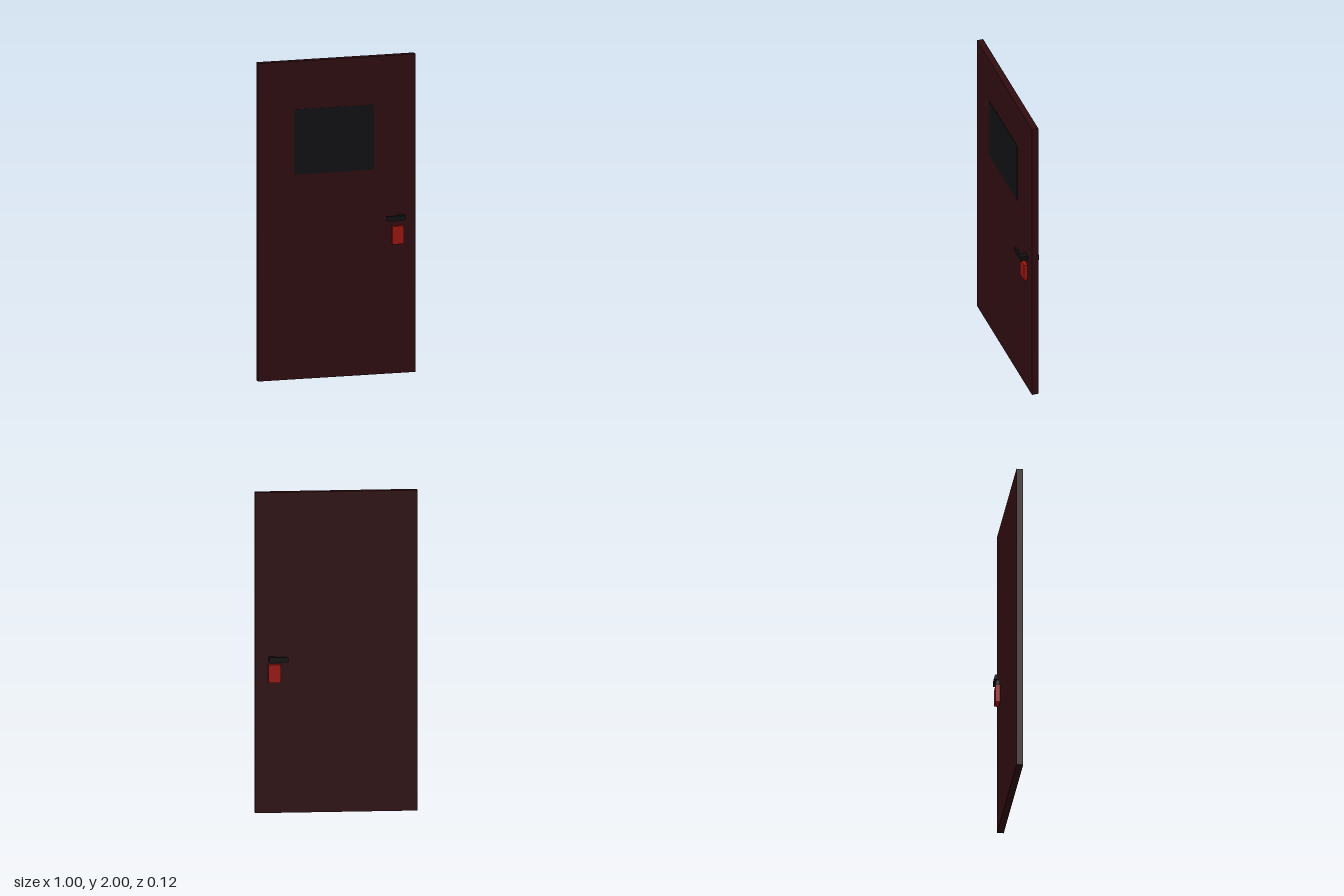
import * as THREE from 'three';

const paint = (color) => new THREE.MeshStandardMaterial({ color });

// Box given by its minimum and maximum corners
function box(name, material, [x0, y0, z0], [x1, y1, z1]) {
  const mesh = new THREE.Mesh(new THREE.BoxGeometry(x1 - x0, y1 - y0, z1 - z0), material);
  mesh.position.set((x0 + x1) / 2, (y0 + y1) / 2, (z0 + z1) / 2);
  mesh.name = name;
  return mesh;
}

// L-shaped handle: a stem out of the door and a thin lever, extruded upward
function handle(name, material, xEnd, yBottom, zDoor, zOuter) {
  const s = Math.sign(zOuter);
  const height = 0.032, length = 0.118, stem = 0.037, lever = 0.012;
  const zInner = zOuter - s * lever;
  const shape = new THREE.Shape([
    [xEnd, zDoor], [xEnd, zOuter], [xEnd - length, zOuter],
    [xEnd - length, zInner], [xEnd - stem, zInner], [xEnd - stem, zDoor],
  ].map(([x, z]) => new THREE.Vector2(x, -z)));
  const geometry = new THREE.ExtrudeGeometry(shape, { depth: height, bevelEnabled: false });
  geometry.rotateX(-Math.PI / 2);
  const mesh = new THREE.Mesh(geometry, material);
  mesh.position.y = yBottom;
  mesh.name = name;
  return mesh;
}

export function createModel() {
  const model = new THREE.Group();
  model.name = 'door';
  const maroon = paint(0x2e0c10), black = paint(0x101012), red = paint(0x961510);
  const front = 0.016, back = -0.025;

  model.add(
    box('doorPanel', maroon, [-0.5, 0, back], [0.5, 2, front]),
    // Window pane on the front face only
    box('window', black, [-0.27, 1.288, 0], [0.235, 1.698, front + 0.002]),
    // Lock boxes below the handles
    box('frontLock', red, [0.346, 0.815, front], [0.42, 0.929, 0.04]),
    box('backLock', red, [0.342, 0.815, -0.052], [0.419, 0.929, back]),
    handle('frontHandle', black, 0.424, 0.966, front, 0.061),
    handle('backHandle', black, 0.416, 0.945, back, -0.061),
  );
  return model;
}
